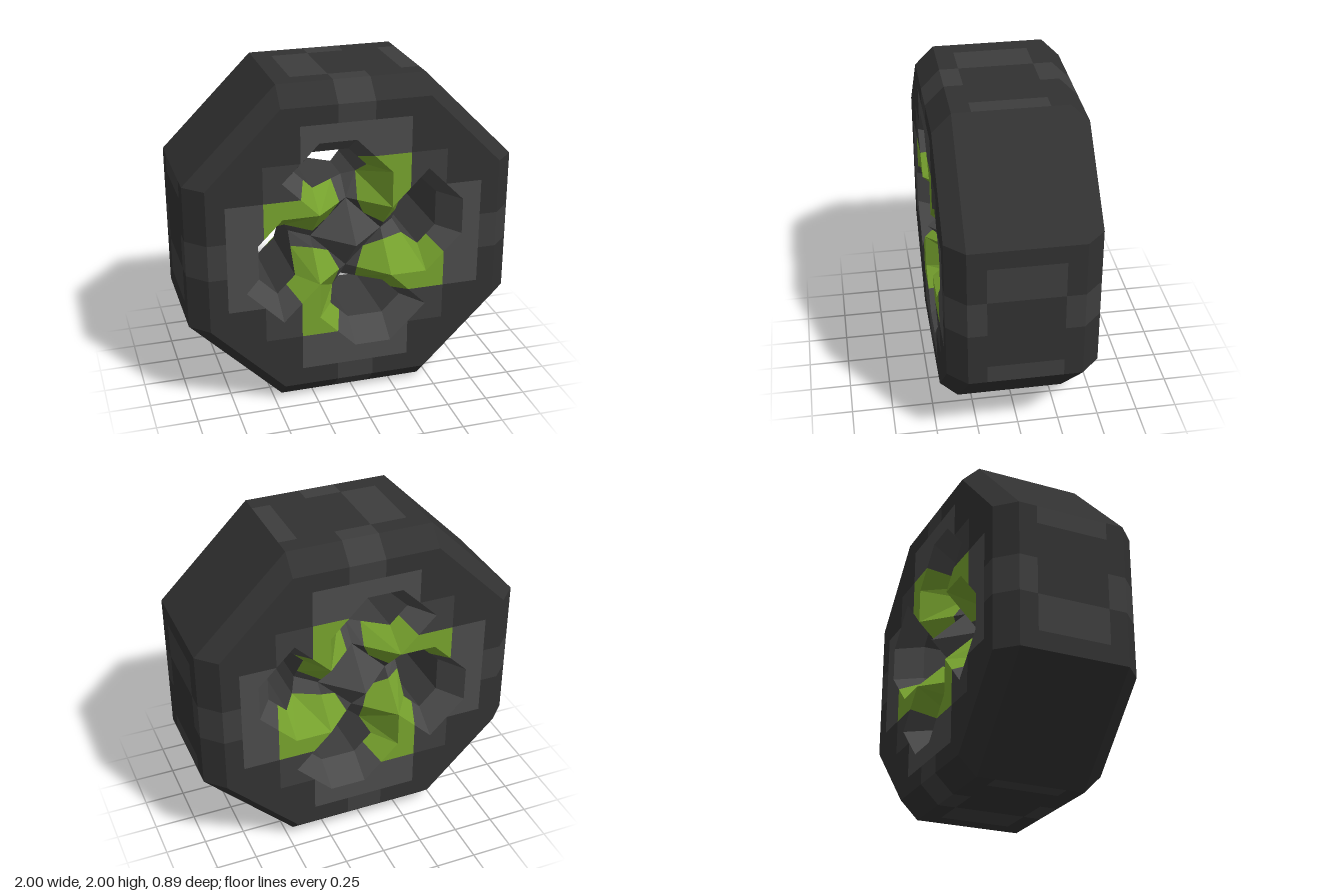
import * as THREE from 'three';

const U = 1 / 9; // modelling grid step

export function createModel() {
  const model = new THREE.Group();
  const parts = {};

  // Adds a polygon (counter-clockwise from outside), repeated four times around z and mirrored front to back
  const poly = (name, color, pts, flat = false) => {
    const part = (parts[name] ??= { color, pos: [] });
    const tris = flat
      ? THREE.ShapeUtils.triangulateShape(pts.map(p => new THREE.Vector2(p[0], p[1])), [])
      : pts.slice(2).map((_, i) => [0, i + 1, i + 2]);
    for (let k = 0; k < 4; k++) {
      const c = [1, 0, -1, 0][k], s = [0, 1, 0, -1][k];
      for (const m of [1, -1]) {
        for (const t of tris) {
          for (const i of m > 0 ? t : [t[0], t[2], t[1]]) {
            const [x, y, z] = pts[i];
            part.pos.push((x * c - y * s) * U, (x * s + y * c) * U + 1, z * m * U);
          }
        }
      }
    }
  };
  const face = (name, color, pts) => poly(name, color, pts.map(([x, y]) => [x, y, 4]), true);
  const mix = (p, q, t) => p.map((v, i) => v + (q[i] - v) * t);

  const DARK = 0x313131, MID = 0x3d3d3d, LIGHT = 0x4a4a4a, GREEN = 0x75a02d;

  // Tread: straight sides in tiles, plain diagonal sides
  const xs = [-4, -3, -1, 1, 3, 4], zs = [0, 2, 3];
  for (let i = 0; i < 5; i++) {
    for (let j = 0; j < 2; j++) {
      const light = j === 0 ? i === 1 || i === 4 : i === 2;
      const [a, b, n, f] = [xs[i], xs[i + 1], zs[j + 1], zs[j]];
      poly(light ? 'treadPatches' : 'tread', light ? MID : DARK,
        [[a, 9, n], [b, 9, n], [b, 9, f], [a, 9, f]]);
    }
  }
  poly('tread', DARK, [[4, 9, 3], [9, 4, 3], [9, 4, 0], [4, 9, 0]]);

  // Chamfer between tread and side wall
  for (const [a, b] of [[-4, -1], [-1, 1], [1, 4]]) {
    const mid = a === -1;
    poly(mid ? 'chamferPatches' : 'chamfer', mid ? MID : DARK,
      [[a, 9, 3], [a, 8, 4], [b, 8, 4], [b, 9, 3]]);
  }
  poly('chamfer', DARK, [[4, 9, 3], [4, 8, 4], [8, 4, 4], [9, 4, 3]]);

  // Side wall and its coloured panels
  face('sideWall', DARK, [[-3, 7], [-1, 7], [-1, 8], [-4, 8]]);
  face('sideWall', DARK, [[1, 7], [3, 7], [4, 8], [1, 8]]);
  face('sideWall', DARK, [[3, 7], [3, 5], [5, 5], [5, 3], [7, 3], [8, 4], [4, 8]]);
  face('sideWallPatches', MID, [[-1, 7], [1, 7], [1, 8], [-1, 8]]);
  face('rimBars', LIGHT, [[-3, 5], [-2, 6], [0, 6], [1, 5], [3, 5], [3, 7], [-3, 7]]);
  face('rimCorners', MID, [[3, 3], [4, 4], [5, 3], [5, 5], [3, 5]]);
  face('greenArmFaces', GREEN, [[2, 2], [3, 3], [3, 5], [1, 5], [2, 4]]);

  // One opening: outer edge, inner edge and the low points by the hub
  const A = [-4, 4, 4], B = [-2, 6, 4], C = [0, 6, 4], D = [2, 4, 4], E = [2, 2, 4];
  const G = [-2, 2, 4], F = [0, 2, 2], F2 = [2, 0, 2];
  const a = [-3, 4, 2.5], b = [-2, 5, 2.5], c = [0, 5, 2.5], d = [1, 4, 2.5];
  const m = [0.65, 3.35, 1.6], f = [0, 3, 1], g = [-2, 3, 2.5];

  // Sloping walls of the opening
  const CD = mix(C, D, 0.5), cd = mix(c, d, 0.5), GA = mix(G, A, 0.5), ga = mix(g, a, 0.5);
  poly('openingWalls', LIGHT, [A, a, b, B]);
  poly('openingWalls', LIGHT, [B, b, c, C]);
  poly('openingWalls', LIGHT, [C, c, cd, CD]);
  poly('openingWalls', LIGHT, [GA, ga, a, A]);
  poly('greenArmSides', GREEN, [CD, cd, d, D]);
  poly('greenArmSides', GREEN, [G, g, ga, GA]);
  poly('greenArmSides', GREEN, [D, d, m]);
  poly('greenArmSides', GREEN, [D, m, E]);

  // Spoke running from the arm tip down to the hub
  const GF = mix(G, F, 0.75), gf = mix(g, f, 0.65), EF = mix(E, F, 0.75);
  poly('greenArmSides', GREEN, [G, GF, gf, g]);
  poly('spokes', LIGHT, [GF, F, f, gf]);
  poly('greenArmSides', GREEN, [E, m, EF]);
  poly('spokes', LIGHT, [EF, m, F]);
  poly('spokes', LIGHT, [F, m, f]);

  // Inner sleeve through the wheel
  const loop = [a, b, c, d, m, f, g];
  loop.forEach((p, i) => {
    const q = loop[(i + 1) % loop.length];
    poly('openingSleeves', MID, [p, [p[0], p[1], 0], [q[0], q[1], 0], q]);
  });

  // Arm tips facing the hub, and the pointed hub
  const EF2 = mix(E, F2, 0.75), low = mix(F, F2, 0.5);
  poly('greenArmTips', GREEN, [E, EF, low, EF2]);
  poly('hubValleys', MID, [EF, F, low]);
  poly('hubValleys', MID, [low, F2, EF2]);
  poly('hub', LIGHT, [[0, 0, 4], F2, F]);

  for (const [name, { color, pos }] of Object.entries(parts)) {
    const geo = new THREE.BufferGeometry();
    geo.setAttribute('position', new THREE.Float32BufferAttribute(pos, 3));
    geo.computeVertexNormals();
    const open = /opening|Arm|spokes|hub/.test(name);
    const mesh = new THREE.Mesh(geo, new THREE.MeshStandardMaterial({
      color, flatShading: true, side: open ? THREE.DoubleSide : THREE.FrontSide,
    }));
    mesh.name = name;
    model.add(mesh);
  }
  model.name = 'wheel';
  return model;
}
